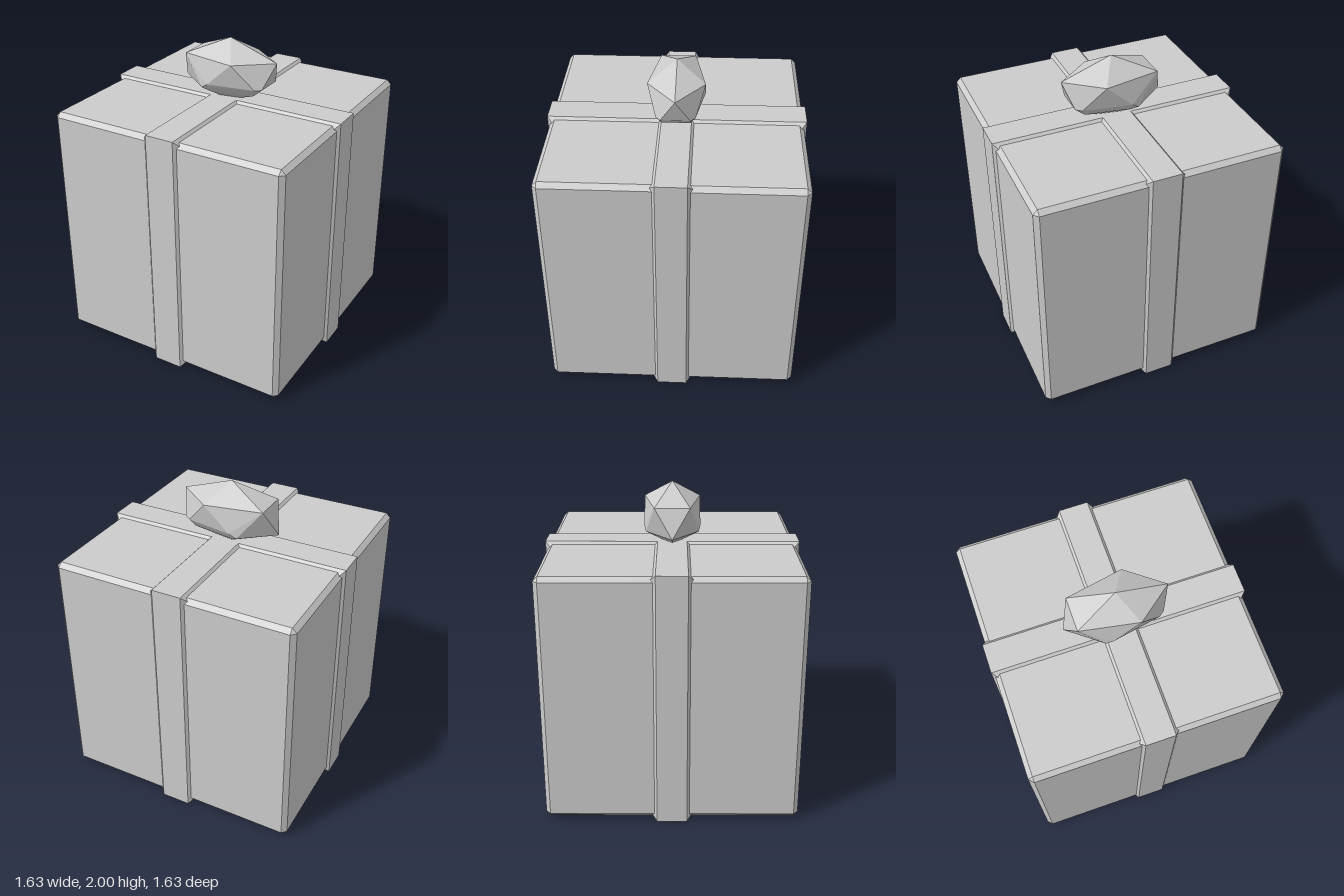
import * as THREE from 'three';
import { ConvexGeometry } from 'three/addons/geometries/ConvexGeometry.js';

const CENTER_Y = 0.814;

// Box with a flat chamfer on every edge: outer half size and half size of the flat faces
function chamferedBox(outer, inner) {
  const points = [];
  for (const x of [-1, 1]) for (const y of [-1, 1]) for (const z of [-1, 1]) {
    points.push(
      new THREE.Vector3(x * outer, y * inner, z * inner),
      new THREE.Vector3(x * inner, y * outer, z * inner),
      new THREE.Vector3(x * inner, y * inner, z * outer)
    );
  }
  return new ConvexGeometry(points);
}

// Square band around the box, with sloping sides that sink into its faces
function ribbonBand() {
  const outer = 0.814, bevel = 0.034, half = 0.094, h = outer - bevel;
  const square = new THREE.Shape([
    new THREE.Vector2(-h, -h), new THREE.Vector2(h, -h),
    new THREE.Vector2(h, h), new THREE.Vector2(-h, h)
  ]);
  const geometry = new THREE.ExtrudeGeometry(square, {
    depth: half * 2, bevelEnabled: true, bevelSegments: 1, bevelSize: bevel, bevelThickness: 0.032
  });
  return geometry.translate(0, 0, -half);
}

// Flattened icosahedron whose lower ring is chamfered, except at its -x tip
function bowKnot() {
  const rx = 0.329, rz = 0.188, yTop = 2, yUp = 1.885, yLow = 1.7, yBottom = 1.585;
  const ring = (deg, y) => {
    const a = THREE.MathUtils.degToRad(deg);
    return new THREE.Vector3(rx * Math.cos(a), y, rz * Math.sin(a));
  };
  const bottom = new THREE.Vector3(0, yBottom, 0);
  const tip = ring(180, yLow);
  const points = [new THREE.Vector3(0, yTop, 0), bottom, tip, ring(0, yUp)];
  for (const s of [-1, 1]) {
    const side = ring(72 * s, yUp);
    const lowFront = ring(36 * s, yLow), lowBack = ring(108 * s, yLow);
    points.push(side, ring(144 * s, yUp));
    // cut corners, moved along the edges that meet there
    points.push(
      lowFront.clone().lerp(side, 0.16),
      lowFront.clone().lerp(ring(0, yUp), 0.16),
      lowFront.clone().lerp(bottom, 0.2),
      lowBack.clone().lerp(side, 0.16),
      lowBack.clone().lerp(bottom, 0.2),
      lowBack.clone().lerp(tip, 0.06)
    );
  }
  return new ConvexGeometry(points);
}

export function createModel() {
  const group = new THREE.Group();
  group.name = 'giftBox';
  const grey = new THREE.MeshStandardMaterial({ color: 0xcccccc, flatShading: true });
  grey.name = 'light grey';

  const add = (name, geometry, y) => {
    const mesh = new THREE.Mesh(geometry, grey);
    mesh.name = name;
    mesh.position.y = y;
    group.add(mesh);
    return mesh;
  };

  add('box', chamferedBox(0.797, 0.768), CENTER_Y);

  // two crossing ribbons
  const band = ribbonBand();
  add('ribbonAcross', band, CENTER_Y);
  add('ribbonFrontToBack', band, CENTER_Y).rotation.y = Math.PI / 2;

  add('bow', bowKnot(), 0);
  return group;
}
